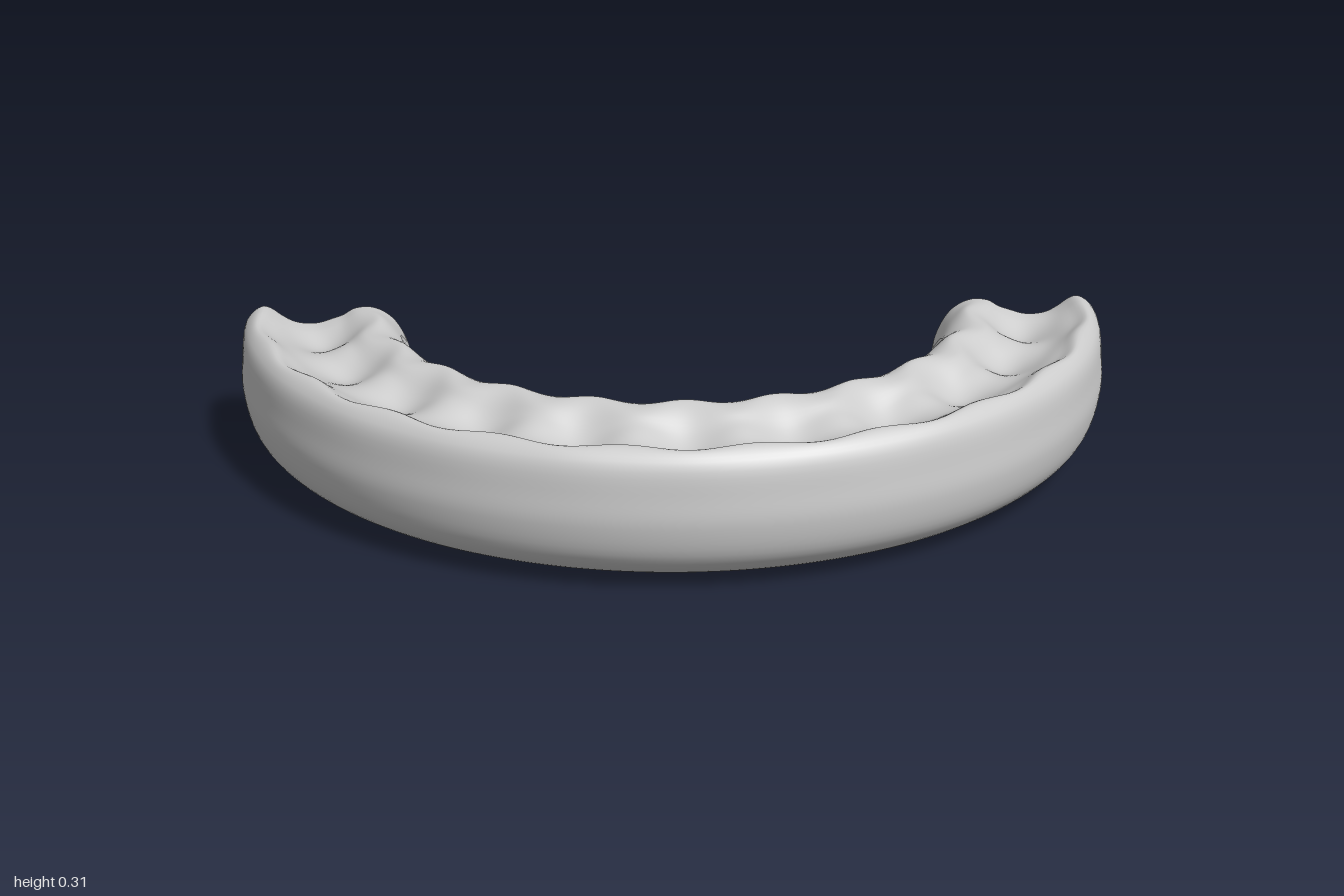
import * as THREE from 'three';

const CENTRE_Z = -0.5;           // centre of the arch
const MID_R = 0.81, MID_Y = 0.15; // middle of the cross-section
const CAP = 0.075;                // length of each rounded end
const PITCH = THREE.MathUtils.degToRad(15.8); // spacing of the bite dents

// Cross-section as radius and height: outer wall, rim, groove, inner rim, inner wall, base
const SECTION = [
  [1.0, 0.15], [0.997, 0.21], [0.985, 0.28], [0.955, 0.307], [0.92, 0.288],
  [0.87, 0.262], [0.82, 0.252], [0.77, 0.268], [0.725, 0.298], [0.69, 0.303],
  [0.65, 0.275], [0.62, 0.22], [0.61, 0.165], [0.622, 0.105], [0.66, 0.045],
  [0.72, 0.012], [0.8, 0], [0.86, 0.005], [0.93, 0.028], [0.98, 0.075],
];

function sectionPoints(count) {
  const curve = new THREE.CatmullRomCurve3(
    SECTION.map(([r, y]) => new THREE.Vector3(r, y, 0)), true, 'centripetal');
  return curve.getPoints(count).slice(0, count);
}

// Stations along the arch: angle and section scale, with rounded ends
function stations() {
  const cap = [];
  for (let i = 0; i <= 16; i++) {
    const a = (i / 16) * Math.PI / 2;
    cap.push({
      angle: CAP * (1 - Math.sqrt(Math.cos(a))) / MID_R,
      scale: i === 0 ? 0 : Math.sqrt(Math.sin(a)),
    });
  }
  const list = [...cap];
  const start = CAP / MID_R, steps = 220;
  for (let i = 1; i < steps; i++) {
    list.push({ angle: start + (Math.PI - 2 * start) * i / steps, scale: 1 });
  }
  for (const c of cap.reverse()) list.push({ angle: Math.PI - c.angle, scale: c.scale });
  return list;
}

function archGeometry() {
  const section = sectionPoints(100);
  const rings = stations();
  const n = section.length;
  const positions = [], index = [];

  rings.forEach(({ angle, scale }, i) => {
    const phase = (angle - Math.PI / 2) / PITCH;
    const wave = Math.cos(phase * 2 * Math.PI);
    section.forEach((p, j) => {
      let r = p.x, y = p.y;
      // Bite dents in the groove and a slight ripple of both rims
      if (y > 0.2) {
        const top = THREE.MathUtils.smoothstep(y, 0.2, 0.26);
        const groove = Math.exp(-(((r - 0.8) / 0.065) ** 2));
        const innerRim = Math.exp(-(((r - 0.71) / 0.04) ** 2));
        const outerRim = Math.exp(-(((r - 0.94) / 0.03) ** 2));
        y -= top * wave * (0.016 * groove + 0.003 * outerRim - 0.004 * innerRim);
        r -= top * wave * (0.012 * innerRim - 0.006 * outerRim);
      }
      r = MID_R + (r - MID_R) * scale;
      y = Math.max(0, MID_Y + (y - MID_Y) * scale);
      positions.push(r * Math.cos(angle), y, CENTRE_Z + r * Math.sin(angle));
      if (i < rings.length - 1) {
        const k = (j + 1) % n;
        const a = i * n + j, b = i * n + k, c = a + n, d = b + n;
        index.push(a, b, c, b, d, c);
      }
    });
  });

  const geometry = new THREE.BufferGeometry();
  geometry.setAttribute('position', new THREE.Float32BufferAttribute(positions, 3));
  geometry.setIndex(index);
  geometry.computeVertexNormals();
  return geometry;
}

export function createModel() {
  const group = new THREE.Group();
  group.name = 'mouthguard';
  const arch = new THREE.Mesh(archGeometry(), new THREE.MeshStandardMaterial({ color: 0xcccccc }));
  arch.name = 'biteArch';
  group.add(arch);
  return group;
}
